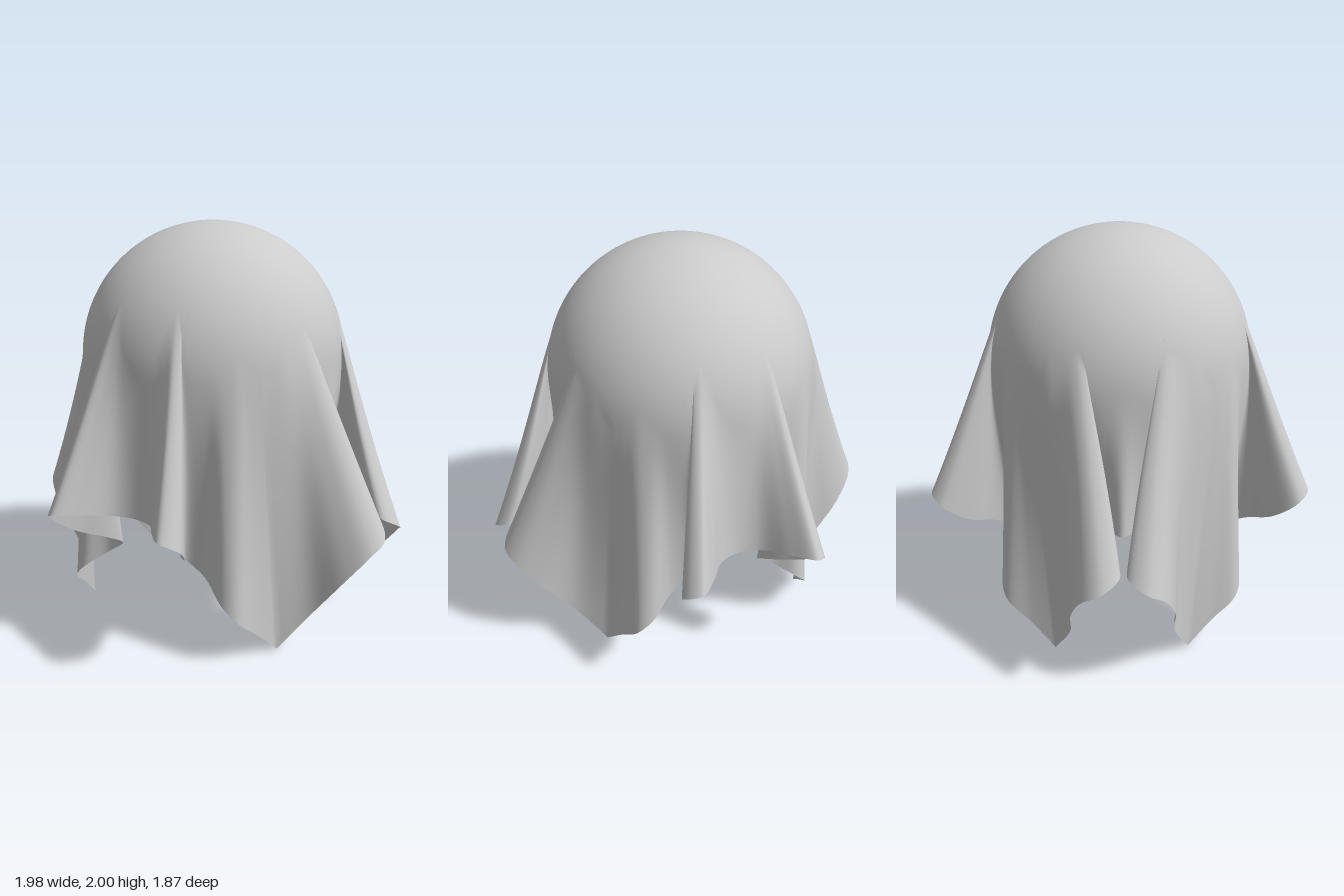
import * as THREE from 'three';
import { mergeGeometries, mergeVertices } from 'three/addons/utils/BufferGeometryUtils.js';

const R = 0.65, CY = 1.35;          // ball shape that the cloth drapes over
const ROWS = 64, STEPS = 6;         // rows from crown to hem, samples between threads
const CENTRE = new THREE.Vector3(0, CY, 0);

// Each thread: azimuth from +z, angle where it leaves the ball, hem point x, y, z
const CORNER = [50, 84, 0.56, 0, 0.33];
const FRONT = [                     // front middle to corner
  [0, 88, 0, 0.695, 0.7],
  [7, 80, 0.1, 0.7, 0.73],
  [12.5, 62, 0.2, 0.725, 0.85],
  [15.5, 51, 0.29, 0.735, 0.935],
  [17, 51, 0.36, 0.69, 0.88],
  [18, 60, 0.31, 0.59, 0.76],
  [19.5, 74, 0.21, 0.53, 0.64],
  [22, 86, 0.18, 0.48, 0.56],
  [29, 88, 0.28, 0.4, 0.54],
  [35, 82, 0.4, 0.31, 0.595],
  [40, 78, 0.475, 0.23, 0.57],
  [45, 82, 0.515, 0.12, 0.45],
  CORNER,
];
const SIDE = [                      // corner to side middle
  CORNER,
  [59, 72, 0.7, 0.19, 0.25],
  [65, 57, 0.86, 0.4, 0.235],
  [67.5, 50, 0.96, 0.53, 0.18],
  [69, 48, 0.99, 0.58, 0.1],
  [70.5, 50, 0.93, 0.635, 0.015],
  [72, 57, 0.8, 0.66, 0.06],
  [73.5, 70, 0.66, 0.68, 0.15],
  [76, 84, 0.57, 0.69, 0.17],
  [82, 88, 0.61, 0.69, 0.08],
  [90, 88, 0.68, 0.69, 0],
];

// A thread follows the ball, then leaves it on a tangent and falls to the hem
function thread([azimuth, leave, x, y, z]) {
  const phi = THREE.MathUtils.degToRad(azimuth);
  const theta = THREE.MathUtils.degToRad(leave);
  const along = (a, r) => new THREE.Vector3(
    r * Math.sin(a) * Math.sin(phi), r * Math.cos(a), r * Math.sin(a) * Math.cos(phi));
  const start = along(theta, R).add(CENTRE);
  const hem = new THREE.Vector3(x, y, z);
  const drop = start.distanceTo(hem);
  const fall = new THREE.CubicBezierCurve3(
    start,
    along(theta + Math.PI / 2, 0.18 * drop).add(start),
    start.clone().lerp(hem, 0.4),
    hem);
  const share = theta * R / (theta * R + drop);
  return Array.from({ length: ROWS + 1 }, (_, j) => {
    const t = j / ROWS;
    return t < share
      ? along(theta * t / share, R).add(CENTRE)
      : fall.getPoint((t - share) / (1 - share));
  });
}

// One cloth panel spanning its threads, kept outside the ball
function panel(threads) {
  const n = (threads.length - 1) * STEPS;
  const pos = [], index = [];
  for (let j = 0; j <= ROWS; j++) {
    const ring = new THREE.CatmullRomCurve3(threads.map(t => t[j]));
    for (let i = 0; i <= n; i++) {
      const p = ring.getPoint(i / n).sub(CENTRE);
      if (p.length() < R) p.setLength(R);
      p.add(CENTRE);
      pos.push(p.x, p.y, p.z);
      if (j < ROWS && i < n) {
        const a = j * (n + 1) + i, c = a + n + 1;
        if (j > 0) index.push(a, c, a + 1);
        index.push(a + 1, c, c + 1);
      }
    }
  }
  const g = new THREE.BufferGeometry();
  g.setAttribute('position', new THREE.Float32BufferAttribute(pos, 3));
  g.setIndex(index);
  return g;
}

export function createModel() {
  const flip = (list, sx, sz) => list.map(t =>
    t.map(p => new THREE.Vector3(p.x * sx, p.y, p.z * sz))).reverse();

  // Front and side panels are symmetric about their middles
  const front = FRONT.map(thread), side = SIDE.map(thread);
  const frontPanel = panel([...flip(front.slice(1), -1, 1), ...front]);
  const sidePanel = panel([...side, ...flip(side.slice(0, -1), 1, -1)]);

  // Back and far side repeat them half a turn around; welding smooths the seams
  const panels = [frontPanel, sidePanel];
  const all = panels.concat(panels.map(g => g.clone().rotateY(Math.PI)));
  const cloth = mergeVertices(mergeGeometries(all), 1e-4);
  cloth.computeVertexNormals();

  const mesh = new THREE.Mesh(cloth, new THREE.MeshStandardMaterial({
    color: 0xcccccc, roughness: 0.8, side: THREE.DoubleSide }));
  mesh.name = 'drapedCloth';
  const group = new THREE.Group();
  group.name = 'drapedClothModel';
  group.add(mesh);
  return group;
}
